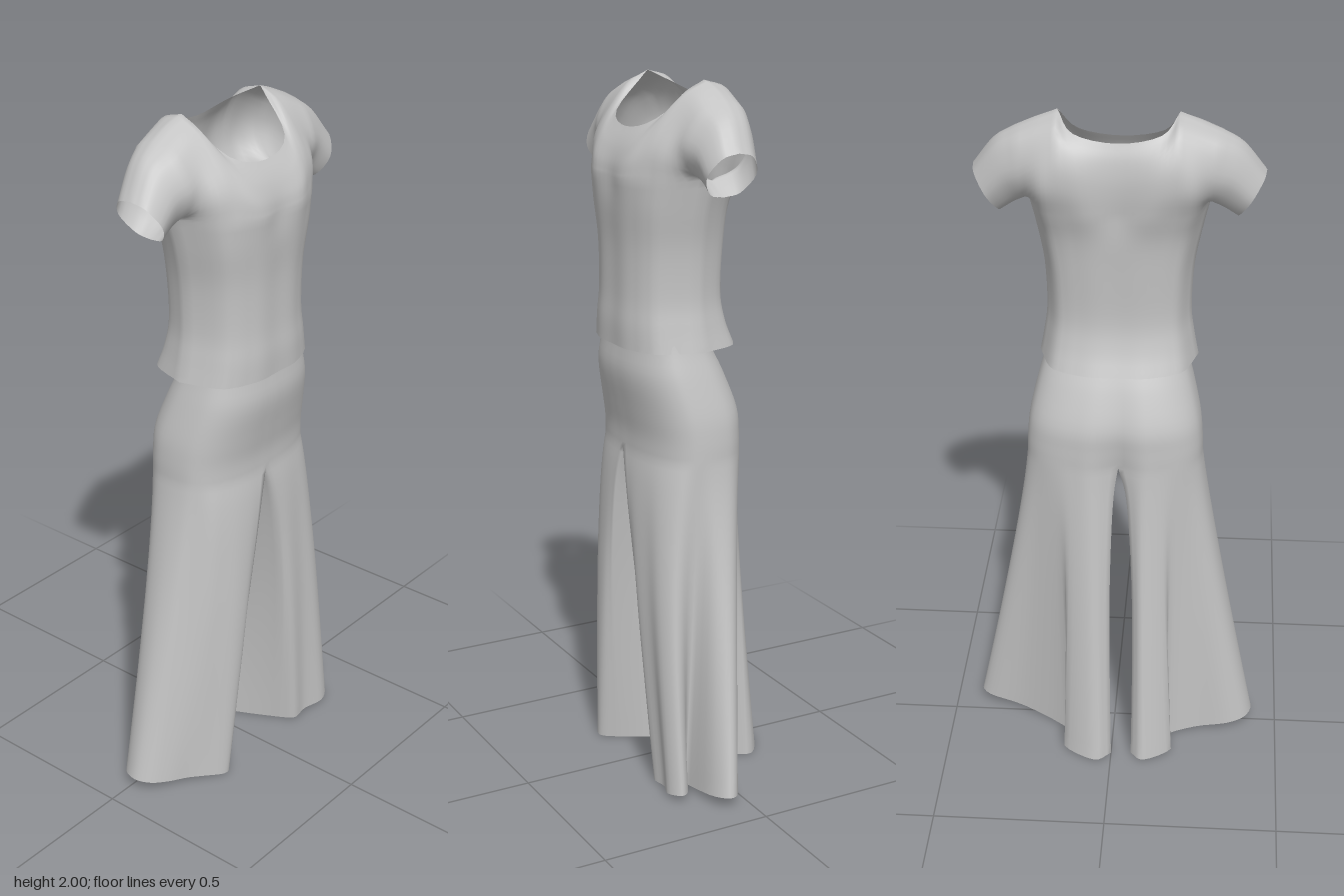
import * as THREE from 'three';
import { mergeGeometries, mergeVertices } from 'three/addons/utils/BufferGeometryUtils.js';

const V = (x, y, z) => new THREE.Vector3(x, y, z);
const spline = (pts, perSpan) =>
  new THREE.CatmullRomCurve3(pts, false, 'catmullrom', 0.5).getPoints((pts.length - 1) * perSpan);

// Smooth surface through rows of control points (rows run upward, u x v faces outward)
function patch(rows, detail = 4) {
  const across = rows.map((r) => spline(r, detail));
  const columns = across[0].map((_, i) => spline(across.map((r) => r[i]), detail));
  const n = columns[0].length;
  const index = [];
  for (let i = 0; i < columns.length - 1; i++) {
    for (let j = 0; j < n - 1; j++) {
      const a = i * n + j, b = a + n;
      index.push(a, b, b + 1, a, b + 1, a + 1);
    }
  }
  const g = new THREE.BufferGeometry().setFromPoints(columns.flat());
  g.setIndex(index);
  return g;
}

// Sew patches together with shared smooth normals
function sew(name, patches, material) {
  const g = mergeVertices(mergeGeometries(patches), 1e-4);
  g.computeVertexNormals();
  const mesh = new THREE.Mesh(g, material);
  mesh.name = name;
  return mesh;
}

// ---- Shirt ----
// Columns from centre to cuff: x at bottom and at top
const COL_X = [[0, 0], [0.08, 0.115], [0.155, 0.16], [0.205, 0.21], [0.245, 0.27], [0.275, 0.33], [0.315, 0.39]];
// Five (y, z) points per column, from chest up to neckline, shoulder or cuff
const FRONT = [
  [1.74, 0.21, 1.775, 0.206, 1.81, 0.195, 1.84, 0.18, 1.87, 0.16],
  [1.74, 0.219, 1.785, 0.21, 1.83, 0.188, 1.865, 0.162, 1.9, 0.13],
  [1.74, 0.192, 1.82, 0.178, 1.89, 0.14, 1.965, 0.075, 2.0, 0.01],
  [1.74, 0.15, 1.81, 0.155, 1.88, 0.125, 1.955, 0.07, 1.982, 0.005],
  [1.75, 0.035, 1.775, 0.1, 1.845, 0.123, 1.925, 0.08, 1.955, 0.01],
  [1.735, 0.035, 1.755, 0.085, 1.825, 0.11, 1.895, 0.07, 1.915, 0.02],
  [1.712, 0.035, 1.722, 0.08, 1.772, 0.108, 1.822, 0.08, 1.835, 0.035],
];
const BACK = [
  [1.74, -0.09, 1.80, -0.096, 1.85, -0.096, 1.9, -0.088, 1.94, -0.073],
  [1.74, -0.105, 1.81, -0.114, 1.87, -0.112, 1.92, -0.095, 1.96, -0.062],
  [1.74, -0.09, 1.82, -0.112, 1.9, -0.105, 1.975, -0.06, 2.0, 0.01],
  [1.74, -0.065, 1.81, -0.1, 1.88, -0.095, 1.955, -0.055, 1.982, 0.005],
  [1.75, 0.035, 1.775, -0.04, 1.845, -0.075, 1.93, -0.05, 1.955, 0.01],
  [1.735, 0.035, 1.755, -0.025, 1.825, -0.058, 1.895, -0.03, 1.915, 0.02],
  [1.712, 0.035, 1.722, -0.01, 1.772, -0.04, 1.822, -0.012, 1.835, 0.035],
];
// Torso rows: y, half width, front z, back z
const TORSO = [
  [1.275, 0.222, 0.209, -0.116], [1.34, 0.21, 0.209, -0.09], [1.42, 0.2, 0.204, -0.075],
  [1.55, 0.205, 0.204, -0.08], [1.66, 0.225, 0.212, -0.088],
];
const TORSO_X = [0, 0.33, 0.63, 0.84, 1];
const TORSO_Z = [1, 1, 0.88, 0.66, 0];
const SHIFT = -0.01;

function upperPoint(table, c, row) {
  const k = Math.abs(c), [x0, x1] = COL_X[k];
  const y = table[k][row * 2];
  const t = (y - table[k][0]) / (table[k][8] - table[k][0]);
  return V(Math.sign(c) * (x0 + (x1 - x0) * t) + SHIFT, y, table[k][row * 2 + 1]);
}

function torsoPoint([y, w, zf, zb], c, isFront) {
  const k = Math.abs(c), zc = 0.045;
  return V(Math.sign(c) * w * TORSO_X[k] + SHIFT, y, zc + ((isFront ? zf : zb) - zc) * TORSO_Z[k]);
}

function makeShirt(material) {
  const parts = [];
  for (const isFront of [true, false]) {
    const table = isFront ? FRONT : BACK;
    for (const [from, to] of [[-6, -4], [-4, -2], [-2, 2], [2, 4], [4, 6]]) {
      const cols = [];
      for (let c = from; c <= to; c++) cols.push(c);
      if (!isFront) cols.reverse();
      const upper = [0, 1, 2, 3, 4].map((r) => cols.map((c) => upperPoint(table, c, r)));
      parts.push(patch(upper));
      if (Math.abs(from + to) < 10) { // torso below the yoke
        const lower = TORSO.map((row) => cols.map((c) => torsoPoint(row, c, isFront)));
        parts.push(patch([...lower, upper[0]]));
      }
    }
  }
  return sew('shirt', parts, material);
}

// ---- Trousers ----
// Pelvis rows from crotch to waist: y, half width, front z, back z, seam depth
const PELVIS = [
  [0.97, 0.252, 0.176, -0.122, 0.03], [1.03, 0.25, 0.178, -0.122, 0.02], [1.1, 0.242, 0.19, -0.118, 0.012],
  [1.2, 0.218, 0.207, -0.082, 0.005], [1.28, 0.195, 0.2, -0.045, 0], [1.36, 0.178, 0.195, -0.027, 0],
];
// Hem outline (x, z) from front inner round the outside to back inner, then the inner side
const HEMS = {
  rightLeg: [
    [-0.14, 0.13], [-0.17, 0.172], [-0.2, 0.178], [-0.25, 0.15], [-0.3, 0.12],
    [-0.36, 0.095], [-0.405, 0.065], [-0.425, 0.02], [-0.405, -0.03], [-0.35, -0.055],
    [-0.25, -0.06], [-0.16, -0.1], [-0.182, -0.16], [-0.1, -0.215], [-0.06, -0.185],
    [-0.062, -0.12], [-0.072, -0.03], [-0.1, 0.055],
  ],
  leftLeg: [
    [0.125, 0.13], [0.155, 0.17], [0.21, 0.166], [0.27, 0.187], [0.315, 0.165],
    [0.295, 0.135], [0.235, 0.11], [0.36, 0.1], [0.42, 0.07], [0.395, 0.03],
    [0.28, 0.0], [0.13, -0.095], [0.145, -0.165], [0.05, -0.224], [0, -0.19],
    [0.015, -0.12], [0.045, -0.03], [0.085, 0.055],
  ],
};
const CROTCH_X = -0.015;
const LAST = 14; // index of the back centre in a half ring

// Half ring of the pelvis, front centre to back centre
function pelvisRow([y, w, zf, zb, seam], side) {
  const zc = (zf + zb) / 2, d = (zf - zb) / 2;
  return Array.from({ length: LAST + 1 }, (_, j) => {
    const a = (j * Math.PI) / LAST, c = Math.cos(a);
    const z = zc + d * Math.sign(c) * Math.abs(c) ** 0.75;
    const x = j % LAST ? side * w * Math.sin(a) ** 0.85 : 0;
    return V(x + CROTCH_X * (1 - Math.sin(a)), y, j === LAST ? z + seam : z);
  });
}

function makeTrousers(material) {
  const parts = [];
  for (const [name, side] of [['rightLeg', -1], ['leftLeg', 1]]) {
    const add = (rows) => parts.push(patch(side > 0 ? rows : rows.map((r) => [...r].reverse())));
    const pelvis = PELVIS.map((row) => pelvisRow(row, side));
    add(pelvis);

    // Full thigh ring: the pelvis edge closed by the crotch curve
    const f = pelvis[0][0].z, b = pelvis[0][LAST].z;
    const thigh = [...pelvis[0], ...[0.25, 0.5, 0.75].map((t) =>
      V(CROTCH_X, 0.97 - 0.03 * Math.sin(Math.PI * t), b + (f - b) * t))];

    // Leg rings blend from the thigh into the pleated hem, fuller at the front and inner thigh
    const rings = [1, 0.8, 0.6, 0.4, 0.2, 0.08, 0].map((s) => thigh.map((p, j) => {
      const [hx, hz] = HEMS[name][j];
      const inner = j === 0 || j >= LAST;
      const wx = s ** (inner ? (hz < 0 ? 0.45 : 0.8) : 1.1), wz = s ** 1.1;
      const swell = Math.sin(Math.PI * s ** 0.7);
      const hemY = 0.005 + 0.035 * Math.max(0, (Math.abs(hx) - 0.2) / 0.22);
      return V(
        p.x + (hx - p.x) * wx + (inner ? side * 0.012 * swell : 0),
        p.y + (hemY - p.y) * s,
        p.z + (hz - p.z) * wz + (p.z > 0.1 && hz > 0.1 ? 0.018 * swell : 0));
    }));
    add(rings.map((r) => r.slice(0, LAST + 1)));
    add(rings.map((r) => [...r.slice(LAST), r[0]]));
  }
  return sew('trousers', parts, material);
}

export function createModel() {
  const cloth = new THREE.MeshStandardMaterial({ color: 0xc4c4c4, side: THREE.DoubleSide });
  cloth.name = 'grey cloth';
  const model = new THREE.Group();
  model.name = 'outfit';
  model.add(makeShirt(cloth), makeTrousers(cloth));
  return model;
}
